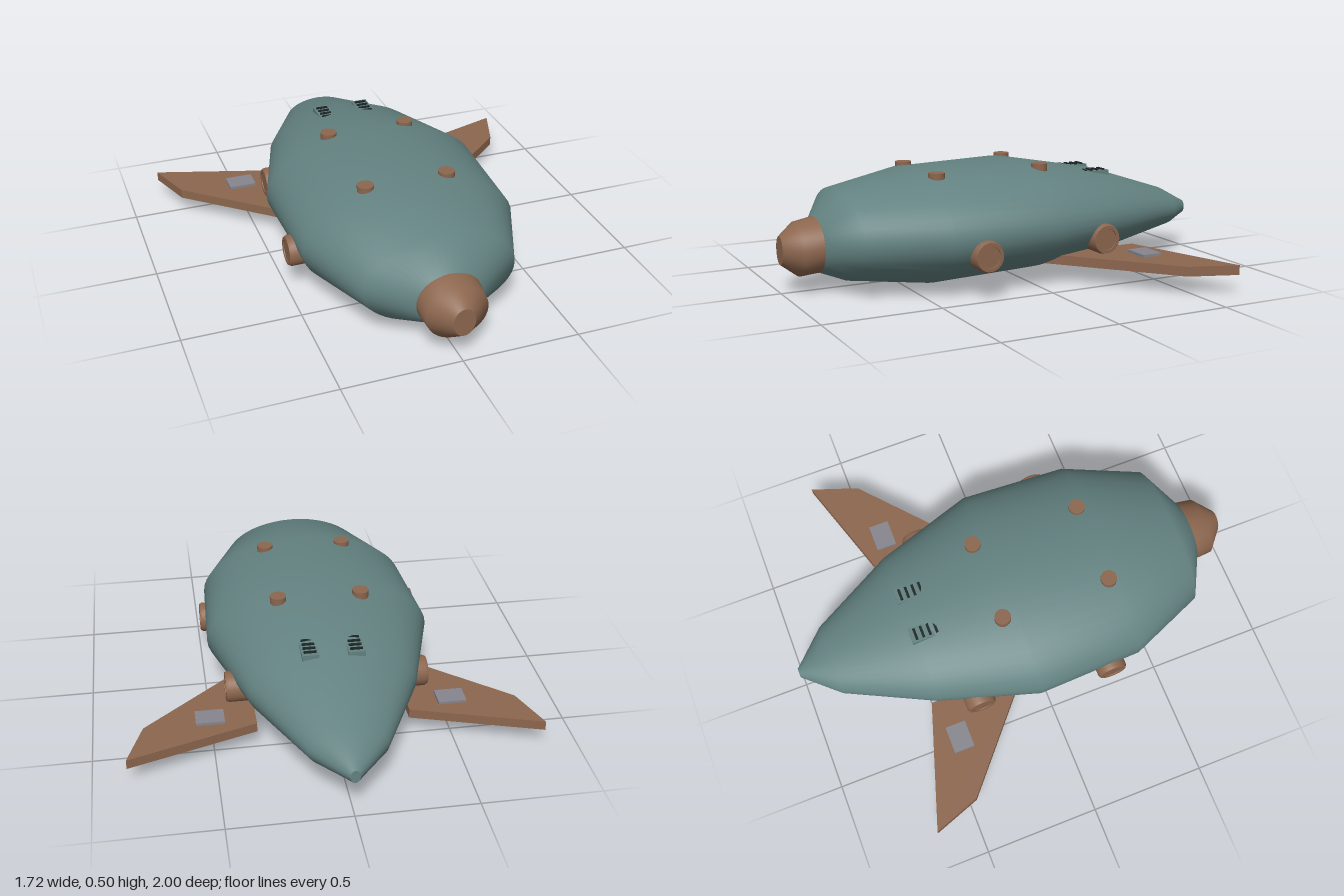
import * as THREE from 'three';
import { toCreasedNormals } from 'three/addons/utils/BufferGeometryUtils.js';

const paint = (name, color) => {
  const m = new THREE.MeshStandardMaterial({ color });
  m.name = name;
  return m;
};

// Smooth closed loft through elliptical rings [z, halfWidth, top, bottom], front to back;
// the end rings are doubled so that the flat caps keep a sharp rim
function loft(rings, sides = 48) {
  const pos = [], idx = [];
  const last = rings.length - 1;
  const at = (i, j) => i * sides + (j % sides);
  for (const [z, w, top, bottom] of [...rings, rings[0], rings[last]]) {
    for (let j = 0; j < sides; j++) {
      const a = (j / sides) * Math.PI * 2;
      pos.push(w * Math.cos(a), (top + bottom) / 2 + ((top - bottom) / 2) * Math.sin(a), z);
    }
  }
  const front = pos.length / 3, back = front + 1;
  for (const [z, , top, bottom] of [rings[0], rings[last]]) pos.push(0, (top + bottom) / 2, z);
  for (let j = 0; j < sides; j++) {
    for (let i = 0; i < last; i++) {
      idx.push(at(i, j), at(i + 1, j), at(i, j + 1));
      idx.push(at(i + 1, j), at(i + 1, j + 1), at(i, j + 1));
    }
    idx.push(front, at(last + 1, j), at(last + 1, j + 1));
    idx.push(back, at(last + 2, j + 1), at(last + 2, j));
  }
  const g = new THREE.BufferGeometry();
  g.setAttribute('position', new THREE.Float32BufferAttribute(pos, 3));
  g.setIndex(idx);
  g.computeVertexNormals();
  return g;
}

export function createModel() {
  const teal = paint('hull teal', 0x638281);
  const copper = paint('copper', 0x8c664e);
  const grey = paint('panel grey', 0x87868e);
  const dark = paint('vent dark', 0x1c2525);

  const model = new THREE.Group();
  model.name = 'submersible';
  const add = (name, geometry, material, x = 0, y = 0, z = 0) => {
    const mesh = new THREE.Mesh(geometry, material);
    mesh.name = name;
    mesh.position.set(x, y, z);
    model.add(mesh);
    return mesh;
  };

  // Hull and nose
  add('hull', loft([
    [0.85, 0.14, 0.31, 0.078],
    [0.75, 0.325, 0.42, 0.04],
    [0.42, 0.465, 0.482, 0],
    [-0.05, 0.485, 0.495, 0.02],
    [-0.48, 0.35, 0.418, 0.066],
    [-0.85, 0.16, 0.298, 0.122],
    [-1, 0.02, 0.22, 0.162],
  ]), teal);
  add('nose', loft([
    [1, 0.046, 0.243, 0.121],
    [0.93, 0.13, 0.295, 0.068],
    [0.84, 0.14, 0.312, 0.076],
  ]), copper);

  // Porthole along x: bevelled rim around a slightly sunken disc
  const porthole = toCreasedNormals(new THREE.LatheGeometry([
    [0.066, -0.14], [0.066, -0.012], [0.06, 0], [0.046, 0], [0.045, -0.004], [0, -0.004],
  ].map(([r, h]) => new THREE.Vector2(r, h)), 32), 0.5).rotateZ(-Math.PI / 2);

  const button = new THREE.CylinderGeometry(0.035, 0.035, 0.05, 32);
  const slat = new THREE.BoxGeometry(0.052, 0.02, 0.011);

  for (const side of [1, -1]) {
    const label = side > 0 ? 'left' : 'right';

    // Swept wing with a panel on top
    const outline = new THREE.Shape([
      [0.32, -0.067], [0.785, -0.47], [0.858, -0.675], [0.32, -0.504],
    ].map(([x, z]) => new THREE.Vector2(side * x, z)));
    const wing = new THREE.ExtrudeGeometry(outline, { depth: 0.041, bevelEnabled: false });
    add(label + 'Wing', wing.rotateX(Math.PI / 2), copper, 0, 0.12, 0);
    add(label + 'WingPanel', new THREE.BoxGeometry(0.12, 0.016, 0.09), grey, side * 0.51, 0.124, -0.442);

    // Side portholes
    for (const [name, x, z] of [['FrontPorthole', 0.497, 0.285], ['RearPorthole', 0.432, -0.305]]) {
      const mesh = add(label + name, porthole, copper, side * x, 0.18, z);
      if (side < 0) mesh.rotation.y = Math.PI;
    }

    // Deck buttons
    add(label + 'FrontButton', button, copper, side * 0.178, 0.458, 0.375);
    add(label + 'RearButton', button, copper, side * 0.178, 0.464, -0.11);

    // Slatted deck vent
    add(label + 'Vent', new THREE.BoxGeometry(0.07, 0.03, 0.1), teal, side * 0.095, 0.409, -0.448);
    for (let i = 0; i < 4; i++) {
      add(label + 'VentSlat', slat, dark, side * 0.095, 0.42, -0.475 + i * 0.03);
    }
  }
  return model;
}
